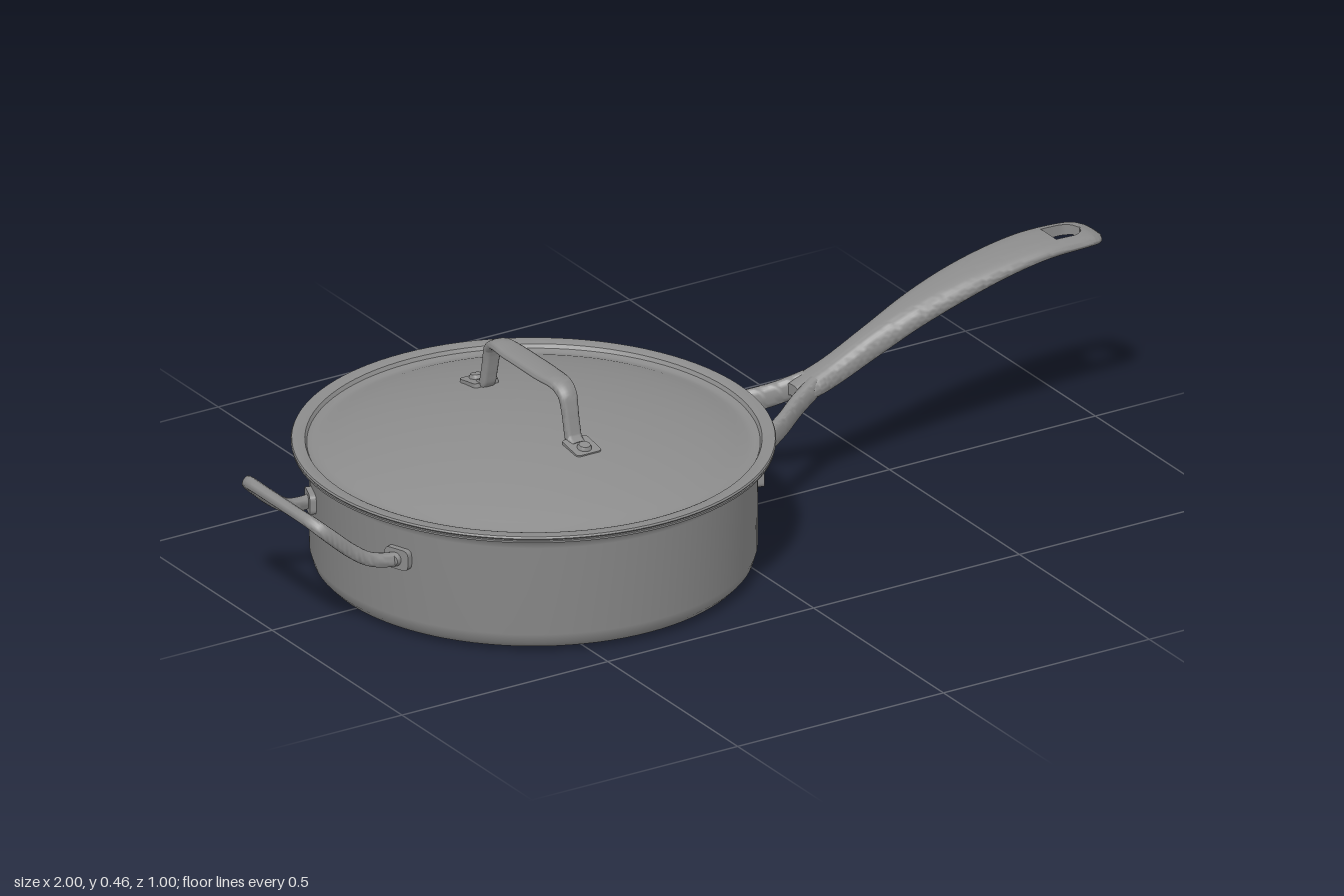
import * as THREE from 'three';
import { toCreasedNormals } from 'three/addons/utils/BufferGeometryUtils.js';

const V = (x, y, z) => new THREE.Vector3(x, y, z);
const PAN_X = -0.365;

// Skin closed rings of points, cap both ends, and make the faces point outward.
function loft(rings, crease = 0.7) {
  const n = rings[0].length, pos = [], idx = [];
  rings.forEach(r => r.forEach(p => pos.push(p.x, p.y, p.z)));
  for (let i = 0; i < rings.length - 1; i++) {
    for (let j = 0; j < n; j++) {
      const a = i * n + j, b = i * n + (j + 1) % n;
      idx.push(a, b, a + n, b, b + n, a + n);
    }
  }
  [0, rings.length - 1].forEach(i => {
    const c = pos.length / 3;
    const mid = rings[i].reduce((s, p) => s.add(p), V(0, 0, 0)).divideScalar(n);
    pos.push(mid.x, mid.y, mid.z);
    for (let j = 0; j < n; j++) {
      const a = i * n + j, b = i * n + (j + 1) % n;
      if (i) idx.push(a, b, c); else idx.push(b, a, c);
    }
  });
  const at = k => V(pos[3 * k], pos[3 * k + 1], pos[3 * k + 2]);
  let volume = 0;
  for (let k = 0; k < idx.length; k += 3) {
    volume += at(idx[k]).dot(at(idx[k + 1]).cross(at(idx[k + 2])));
  }
  if (volume < 0) idx.reverse();
  const g = new THREE.BufferGeometry();
  g.setAttribute('position', new THREE.Float32BufferAttribute(pos, 3));
  g.setIndex(idx);
  return toCreasedNormals(g, crease);
}

// Sweep a rounded section along a path; size(t) gives [half width, half depth along ref].
function sweep(points, ref, size, steps = 60, sides = 16) {
  const curve = new THREE.CatmullRomCurve3(points);
  const rings = [];
  for (let i = 0; i <= steps; i++) {
    const t = i / steps, p = curve.getPointAt(t), tan = curve.getTangentAt(t);
    const side = tan.clone().cross(ref).normalize();
    const up = side.clone().cross(tan);
    const [w, d] = size(t);
    const ring = [];
    for (let j = 0; j < sides; j++) {
      const a = j / sides * Math.PI * 2, c = Math.cos(a), s = Math.sin(a);
      const soft = v => Math.sign(v) * Math.pow(Math.abs(v), 0.75);
      ring.push(p.clone().addScaledVector(side, w * soft(c)).addScaledVector(up, d * soft(s)));
    }
    rings.push(ring);
  }
  return loft(rings, 0.9);
}

function lathe(profile) {
  const g = new THREE.LatheGeometry(profile.map(p => new THREE.Vector2(...p)), 96);
  return toCreasedNormals(g, 0.6);
}

// Flat plate with rounded corners, facing +z
function plateGeometry(w, h, depth, r) {
  const s = new THREE.Shape(), x = w / 2, y = h / 2;
  s.moveTo(-x + r, -y);
  s.lineTo(x - r, -y); s.quadraticCurveTo(x, -y, x, -y + r);
  s.lineTo(x, y - r); s.quadraticCurveTo(x, y, x - r, y);
  s.lineTo(-x + r, y); s.quadraticCurveTo(-x, y, -x, y - r);
  s.lineTo(-x, -y + r); s.quadraticCurveTo(-x, -y, -x + r, -y);
  return new THREE.ExtrudeGeometry(s, { depth, bevelEnabled: false });
}

// Rivet with a slightly domed head, facing +z
function rivetGeometry(r, h) {
  const g = lathe([[0, 0], [r, 0], [r, h * 0.65], [r * 0.8, h * 0.92], [0, h]]);
  return g.rotateX(Math.PI / 2);
}

// One half of the long handle: arched top, channelled underside, slot near the tip
function handleHalf(sign) {
  const stations = [ // x, top, bottom, half width
    [0.265, 0.247, 0.215, 0.026], [0.30, 0.262, 0.217, 0.037], [0.36, 0.287, 0.232, 0.034],
    [0.45, 0.33, 0.27, 0.036], [0.55, 0.372, 0.318, 0.047], [0.65, 0.404, 0.356, 0.056],
    [0.75, 0.426, 0.386, 0.06], [0.85, 0.438, 0.405, 0.061], [0.95, 0.436, 0.408, 0.057],
    [0.985, 0.428, 0.407, 0.046], [1.0, 0.419, 0.41, 0.024]];
  const make = f => new THREE.CatmullRomCurve3(stations.map(f), false, 'catmullrom');
  const heights = make(s => V(s[0], s[1], s[2])), widths = make(s => V(s[0], s[3], 0));
  const slot = x => x < 0.88 || x > 0.96 ? 0
    : 0.03 * Math.sqrt(1 - Math.pow(Math.max(0, (x - 0.925) / 0.035), 2));
  const K = 9;
  const ringAt = (t, h) => {
    const { x, y: top, z: bottom } = heights.getPoint(t), w = widths.getPoint(t).y;
    const mid = bottom + (top - bottom) * 0.45, ring = [];
    const add = (k, upper) => {
      const z = h + (w - h) * Math.sin(k / K * Math.PI / 2), s = Math.min(1, z / w);
      const channel = 0.55 * Math.pow(1 - s * s, 2);
      const y = upper ? mid + (top - mid) * Math.sqrt(1 - s ** 3)
        : mid - (mid - bottom) * (Math.sqrt(1 - s ** 6) - channel);
      ring.push(V(x, y, sign * z));
    };
    for (let k = 0; k <= K; k++) add(k, false);
    for (let k = K - 1; k >= 0; k--) add(k, true);
    return ring;
  };
  const rings = [];
  let last = 0;
  for (let i = 0; i <= 120; i++) {
    const t = i / 120, h = slot(heights.getPoint(t).x);
    if (!last && h) rings.push(ringAt(t, 0));
    rings.push(ringAt(t, h));
    last = h;
  }
  return loft(rings);
}

export function createModel() {
  const model = new THREE.Group();
  const steel = new THREE.MeshStandardMaterial({ color: 0x8c8c8c });
  steel.name = 'steel';
  const add = (name, geometry, parent = model) => {
    const m = new THREE.Mesh(geometry, steel);
    m.name = name;
    parent.add(m);
    return m;
  };

  // Pan with rounded base and flared rim
  add('panBody', lathe([[0, 0], [0.405, 0], [0.425, 0.003], [0.443, 0.011], [0.455, 0.024],
    [0.461, 0.045], [0.462, 0.24], [0.465, 0.252], [0.473, 0.261], [0.485, 0.266], [0.497, 0.268],
    [0.498, 0.273], [0.485, 0.273], [0.462, 0.262], [0.454, 0.24], [0.452, 0.045],
    [0.43, 0.014], [0, 0.01]])).position.x = PAN_X;

  // Lid: flange, shallow groove, dome
  const dome = [[0.475, 0.282], [0.47, 0.28], [0.466, 0.272], [0.455, 0.268], [0.44, 0.271],
    [0.42, 0.279], [0.37, 0.294], [0.3, 0.311], [0.22, 0.326], [0.14, 0.336], [0.07, 0.341], [0, 0.342]];
  add('lid', lathe([[0, 0.334], [0.2, 0.32], [0.4, 0.276], [0.45, 0.261], [0.475, 0.275],
    [0.497, 0.275], [0.499, 0.278], [0.497, 0.282], ...dome])).position.x = PAN_X;

  // Lid handle: an arch across the lid with riveted feet
  const lidHandle = new THREE.Group();
  lidHandle.name = 'lidHandle';
  lidHandle.position.set(PAN_X, 0, -0.012);
  model.add(lidHandle);
  const arch = [[0.182, 0.329], [0.167, 0.338], [0.159, 0.365], [0.15, 0.405], [0.142, 0.428],
    [0.12, 0.442], [0.06, 0.444]];
  const archPath = [...arch.map(([z, y]) => V(0, y, z)),
    ...arch.slice().reverse().map(([z, y]) => V(0, y, -z))];
  add('lidHandleArch', sweep(archPath, V(1, 0, 0), t => {
    const bar = THREE.MathUtils.smoothstep(0.5 - Math.abs(t - 0.5), 0.12, 0.4);
    return [0.012 - 0.002 * bar, 0.018 + 0.012 * bar];
  }, 90), lidHandle);
  for (const s of [1, -1]) {
    const foot = new THREE.Group();
    foot.name = 'lidHandleFoot';
    foot.position.set(0, 0.324, s * 0.196);
    foot.rotation.x = -Math.PI / 2 + s * 0.17;
    lidHandle.add(foot);
    add('footPlate', plateGeometry(0.06, 0.065, 0.011, 0.01), foot);
    add('footRivet', rivetGeometry(0.015, 0.021), foot).position.y = -s * 0.01;
  }

  // Riveted mounting plates on the pan wall
  const mount = (name, angle, w, h, y, rivet) => {
    const g = new THREE.Group();
    g.name = name;
    g.position.set(PAN_X, y, 0);
    g.rotation.y = angle;
    model.add(g);
    add('mountPlate', plateGeometry(w, h, 0.018, 0.014), g).position.z = 0.456;
    add('mountRivet', rivetGeometry(rivet, 0.03), g).position.z = 0.456;
  };
  for (const s of [1, -1]) {
    mount('longHandleMount', Math.PI / 2 - s * 0.377, 0.1, 0.066, 0.182, 0.02);
    mount('helperHandleMount', -Math.PI / 2 + s * 0.37, 0.06, 0.045, 0.18, 0.013);

    // Forked prong joining the long handle to the pan
    add('handleProng', sweep([V(0.078, 0.182, s * 0.15), V(0.104, 0.183, s * 0.122),
      V(0.15, 0.189, s * 0.092), V(0.2, 0.202, s * 0.066), V(0.25, 0.219, s * 0.038),
      V(0.31, 0.242, s * 0.015)], V(0, 1, 0),
    t => [0.011 + 0.004 * t, 0.029 - 0.006 * t], 40));
    add('longHandle', handleHalf(s));
  }

  // Helper handle: a rising loop on the opposite side
  const loop = [[-0.785, 0.18, 0.172], [-0.825, 0.18, 0.166], [-0.865, 0.189, 0.158],
    [-0.905, 0.215, 0.152], [-0.945, 0.25, 0.147], [-0.967, 0.27, 0.138], [-0.977, 0.28, 0.115],
    [-0.978, 0.281, 0.05]];
  const loopPath = [...loop.map(p => V(...p)),
    ...loop.slice().reverse().map(([x, y, z]) => V(x, y, -z))];
  add('helperHandle', sweep(loopPath, V(0.6, 0.8, 0), t => {
    const bar = THREE.MathUtils.smoothstep(0.5 - Math.abs(t - 0.5), 0.25, 0.4);
    return [0.012 + 0.009 * bar, 0.015 - 0.002 * bar];
  }, 100));

  return model;
}
